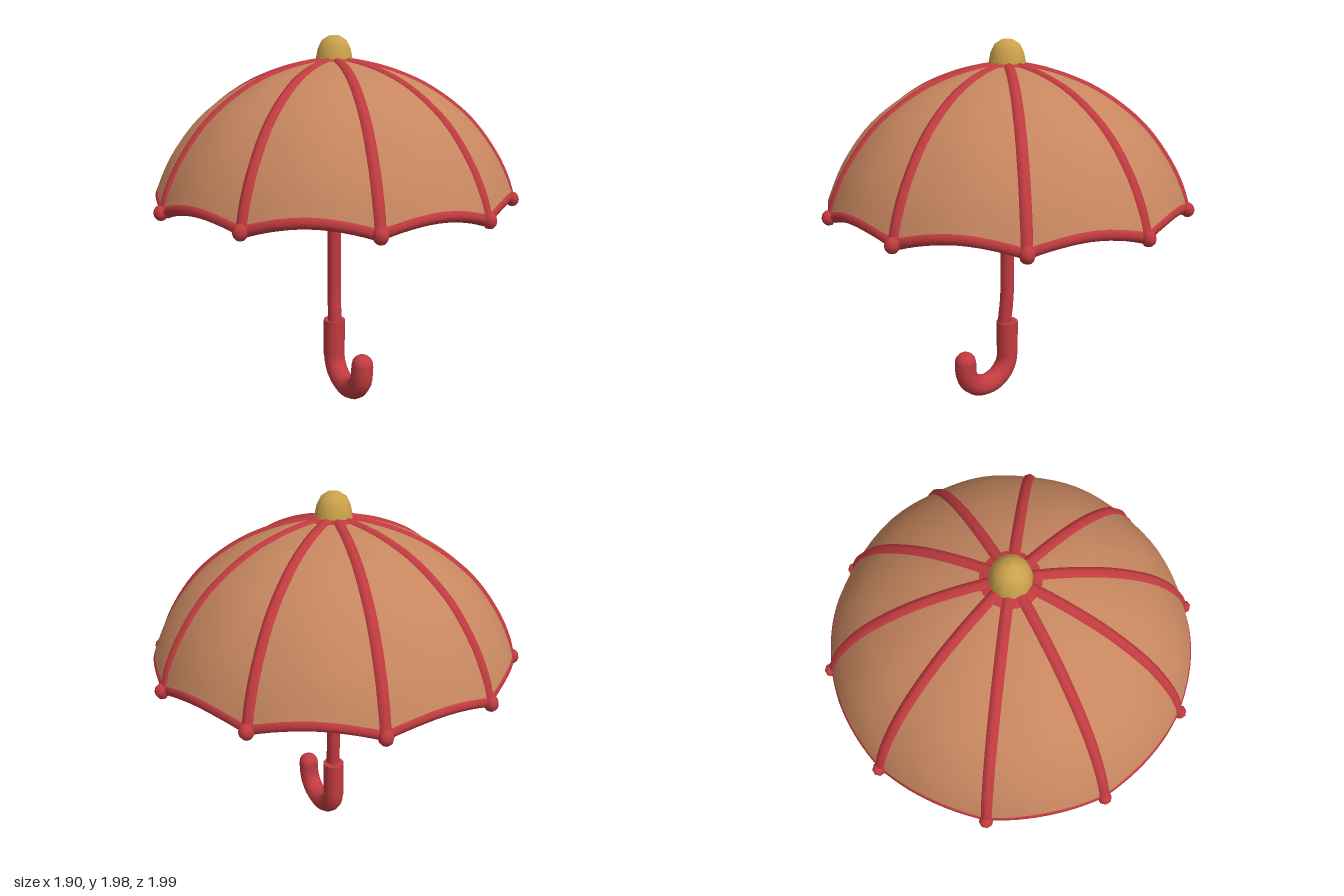
import * as THREE from 'three';

const RIBS = 10;
const STEP = Math.PI * 2 / RIBS;
const TWIST = 0.018;

// Canopy cross-section from crown to rim (radius, height)
const profile = new THREE.SplineCurve([
  [0, 1.858], [0.1, 1.85], [0.3, 1.802], [0.5, 1.715], [0.7, 1.567],
  [0.845, 1.385], [0.927, 1.225], [0.953, 1.14],
].map(([r, y]) => new THREE.Vector2(r, y)));

const polar = (r, y, a) => new THREE.Vector3(r * Math.sin(a + TWIST), y, r * Math.cos(a + TWIST));

// t = 0 at the crown, 1 at the hem; the hem rises and the cloth swells between
// the ribs. inset moves the point inwards from the outer cloth.
function canopyPoint(a, t, inset = 0) {
  const lift = Math.abs(Math.sin(a * RIBS / 2));
  const s = t * (1 - 0.042 * lift);
  const p = profile.getPointAt(s);
  const d = profile.getTangentAt(s);
  const swell = 1 + lift * lift * (0.02 - 0.016 * t * t);
  return polar(Math.max(0, p.x * swell + d.y * inset), p.y - d.x * inset, a);
}

export function createModel() {
  const cloth = new THREE.MeshStandardMaterial({ color: 0xc6865f, side: THREE.DoubleSide });
  cloth.name = 'tan cloth';
  const red = new THREE.MeshStandardMaterial({ color: 0xc23b40 });
  red.name = 'red';
  const gold = new THREE.MeshStandardMaterial({ color: 0xcba24c });
  gold.name = 'gold';

  const model = new THREE.Group();
  model.name = 'umbrella';
  const add = (name, geometry, material, position) => {
    const mesh = new THREE.Mesh(geometry, material);
    mesh.name = name;
    if (position) mesh.position.copy(position);
    model.add(mesh);
    return mesh;
  };
  const tube = (points, radius, segments, sides = 8) =>
    new THREE.TubeGeometry(new THREE.CatmullRomCurve3(points), segments, radius, sides);
  const lathe = (points, sides) =>
    new THREE.LatheGeometry(points.map(([r, y]) => new THREE.Vector2(r, y)), sides);

  // Cloth layer: a grid wrapped around the axis
  const clothLayer = (inset) => {
    const g = new THREE.PlaneGeometry(1, 1, RIBS * 8, 20);
    const pos = g.attributes.position;
    for (let i = 0; i < pos.count; i++) {
      const p = canopyPoint((pos.getX(i) + 0.5) * Math.PI * 2, 0.985 * (0.5 - pos.getY(i)), inset);
      pos.setXYZ(i, p.x, p.y, p.z);
    }
    g.computeVertexNormals();
    return g;
  };
  add('canopy', clothLayer(0), cloth);
  add('canopyLining', clothLayer(0.046), cloth);

  // Ribs, tip knobs, scalloped hem and inner stretchers
  for (let k = 0; k < RIBS; k++) {
    const a = k * STEP;
    const ribPoints = [], hemPoints = [];
    for (let i = 0; i <= 12; i++) ribPoints.push(canopyPoint(a, 0.04 + 0.96 * i / 12, 0.017));
    for (let i = 0; i <= 8; i++) hemPoints.push(canopyPoint(a + STEP * i / 8, 1, 0.026));
    add('rib', tube(ribPoints, 0.033, 28), red);
    add('hem', tube(hemPoints, 0.03, 12), red);
    add('ribTip', new THREE.SphereGeometry(0.036, 8, 6), red, polar(0.958, 1.132, a)).scale.y = 1.1;
    // Inner rib leaves the cloth and meets the strut at an elbow
    const elbow = polar(0.57, 1.48, a);
    add('innerRib', tube([polar(0.92, 1.15, a), polar(0.83, 1.32, a), polar(0.71, 1.425, a), elbow], 0.033, 16), red);
    add('elbow', new THREE.SphereGeometry(0.035, 8, 6), red, elbow);
    add('strut', tube([elbow, polar(0.06, 1.26, a)], 0.035, 2), red);
  }

  // Red collar where the ribs meet
  add('crownCollar', lathe([[0.14, 1.846], [0.08, 1.862]], 20), red);

  // Gathered cloth inside, around the runner
  add('innerLining', lathe([[0.04, 1.47], [0.27, 1.5], [0.32, 1.57], [0.34, 1.75]], 30), cloth);
  const ruffle = new THREE.TorusGeometry(0.175, 0.062, 8, 60).rotateX(Math.PI / 2);
  const rp = ruffle.attributes.position;
  for (let i = 0; i < rp.count; i++) {
    const a = Math.atan2(rp.getX(i), rp.getZ(i));
    const s = 1 + 0.06 * Math.cos(a * RIBS + Math.PI);
    rp.setXYZ(i, rp.getX(i) * s, rp.getY(i) * s, rp.getZ(i) * s);
  }
  ruffle.computeVertexNormals();
  add('ruffle', ruffle, cloth, new THREE.Vector3(0, 1.285, 0));
  add('runner', new THREE.CylinderGeometry(0.11, 0.09, 0.15, 12), red, new THREE.Vector3(0, 1.25, 0));

  // Shaft, bending slightly forward into the grip
  add('shaft', tube([[0.39, 0.018], [0.46, 0.012], [0.54, 0.003], [0.7, 0], [1.85, 0]]
    .map(([y, z]) => new THREE.Vector3(0, y, z)), 0.039, 24, 12), red);

  // Grip and hook, curling forward and slightly to one side
  add('grip', new THREE.CylinderGeometry(0.062, 0.062, 0.21, 12), red, new THREE.Vector3(0, 0.305, 0));
  const hookPoints = [new THREE.Vector3(0, 0.26, 0)];
  for (let i = 0; i <= 8; i++) {
    const b = Math.PI * i / 8;
    const z = 0.145 * (1 - Math.cos(b));
    hookPoints.push(new THREE.Vector3(z * 0.34, 0.205 - 0.143 * Math.sin(b), z));
  }
  const end = new THREE.Vector3(0.1, 0.248, 0.29);
  hookPoints.push(end);
  add('hook', tube(hookPoints, 0.06, 28, 12), red);
  add('hookEnd', new THREE.SphereGeometry(0.06, 12, 8), red, end);

  // Finial
  add('finial', lathe([[0.1, 1.84], [0.098, 1.865], [0.088, 1.915], [0.066, 1.958], [0.03, 1.981], [0, 1.985]], 12), gold);

  return model;
}
